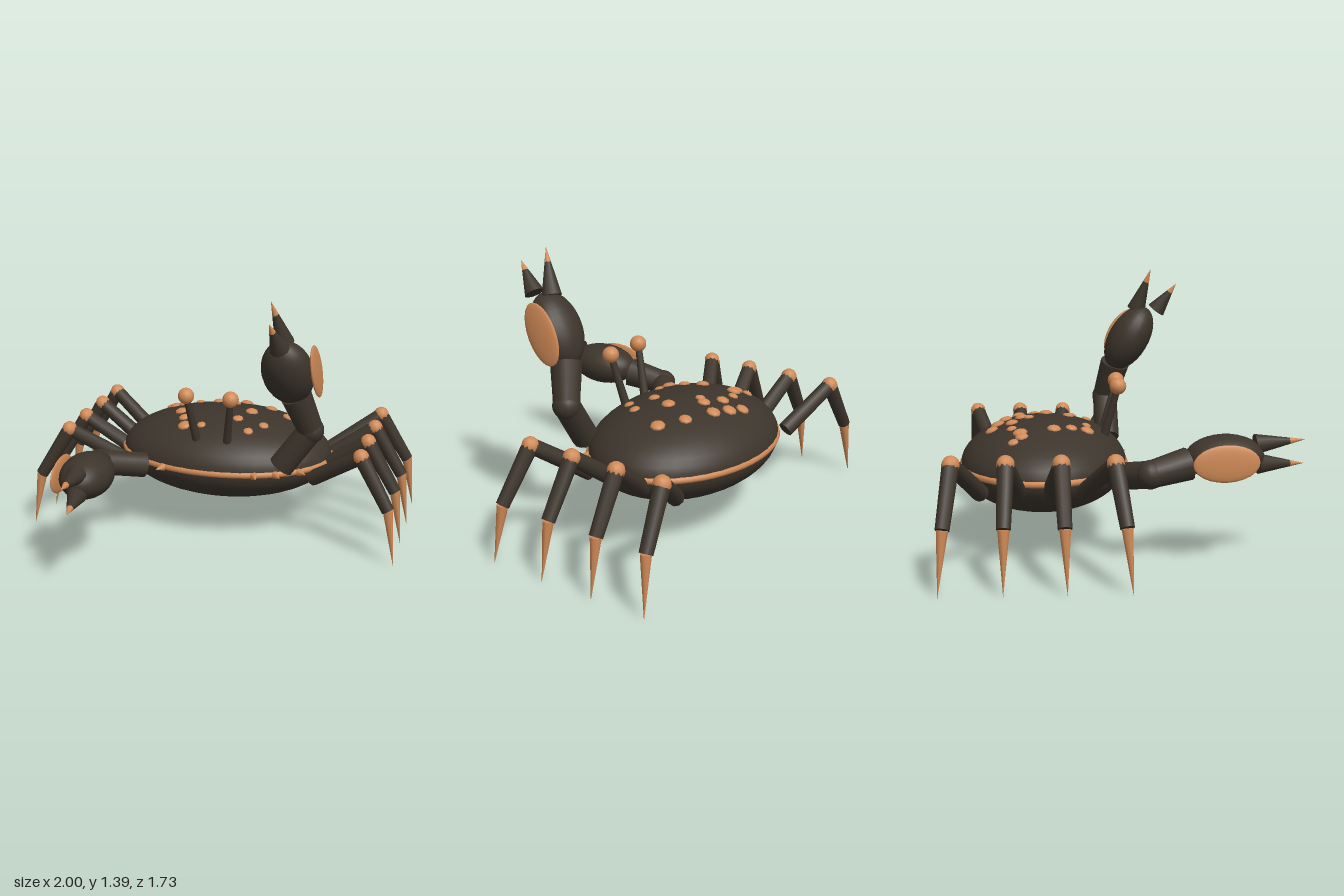
import * as THREE from 'three';

const shell = new THREE.MeshStandardMaterial({ color: 0x3d352c });
shell.name = 'dark shell';
const accent = new THREE.MeshStandardMaterial({ color: 0xd08a56 });
accent.name = 'orange accent';

const V = (x, y, z) => new THREE.Vector3(x, y, z);
const UP = V(0, 1, 0);

function add(parent, name, geometry, material) {
  const mesh = new THREE.Mesh(geometry, material);
  mesh.name = name;
  parent.add(mesh);
  return mesh;
}

// Cylinder or cone running from a (radius ra) to b (radius rb)
function limb(parent, name, a, b, ra, rb, material, sides = 12) {
  const dir = b.clone().sub(a);
  const mesh = add(parent, name, new THREE.CylinderGeometry(rb, ra, dir.length(), sides), material);
  mesh.position.copy(a).add(b).multiplyScalar(0.5);
  mesh.quaternion.setFromUnitVectors(UP, dir.normalize());
  return mesh;
}

function ball(parent, name, p, r, material, w = 16, h = 12) {
  const mesh = add(parent, name, new THREE.SphereGeometry(r, w, h), material);
  mesh.position.copy(p);
  return mesh;
}

// Body ellipsoid
const C = V(0, 0.41, -0.41), R = V(0.587, 0.234, 0.427);
const topY = (x, z) =>
  C.y + R.y * Math.sqrt(Math.max(0, 1 - (x / R.x) ** 2 - ((z - C.z) / R.z) ** 2));

function buildBody(root) {
  const body = new THREE.Group();
  body.name = 'body';
  root.add(body);
  ball(body, 'carapace', C, 1, shell, 40, 24).scale.copy(R);

  const rim = add(body, 'shellRim', new THREE.TorusGeometry(0.58, 0.017, 8, 56).rotateX(Math.PI / 2), accent);
  rim.scale.z = 0.728;
  rim.position.copy(C);

  // Small spikes along the front rim
  for (const s of [-1, 1]) for (const deg of [25, 37, 52]) {
    const t = THREE.MathUtils.degToRad(deg);
    const dir = V(s * Math.sin(t), 0, Math.cos(t));
    const base = V(dir.x * R.x, 0, dir.z * R.z).add(C);
    limb(body, 'rimSpike', base, base.clone().addScaledVector(dir, 0.06), 0.022, 0, accent, 6);
  }

  // Scattered bumps: x, z, radius
  const bumps = [
    [-0.37, -0.55, 0.028], [-0.33, -0.51, 0.034], [-0.28, -0.52, 0.038], [-0.20, -0.565, 0.027],
    [-0.115, -0.67, 0.035], [-0.03, -0.645, 0.038], [-0.09, -0.57, 0.034], [0.015, -0.525, 0.034],
    [-0.015, -0.485, 0.027], [0.063, -0.61, 0.037], [0.22, -0.55, 0.034], [0.337, -0.47, 0.038],
    [0.143, -0.40, 0.036], [-0.247, -0.353, 0.036], [-0.205, -0.267, 0.031], [-0.18, -0.187, 0.037],
    [-0.085, -0.19, 0.025], [0.095, -0.283, 0.03], [0.242, -0.267, 0.028], [0.176, -0.187, 0.027]
  ];
  for (const [x, z, r] of bumps) {
    const y = topY(x, z);
    const bump = ball(body, 'shellBump', V(x, y, z), r, accent, 8, 6);
    const n = V(x / R.x ** 2, (y - C.y) / R.y ** 2, (z - C.z) / R.z ** 2).normalize();
    bump.quaternion.setFromUnitVectors(UP, n);
    bump.scale.y = 0.5;
  }

  // Eyes on stalks
  for (const s of [-1, 1]) {
    const tip = V(s * 0.12, 0.815, -0.03);
    limb(body, 'eyeStalk', V(s * 0.083, 0.55, -0.1), tip, 0.023, 0.017, shell);
    ball(body, 'eye', tip, 0.043, accent);
  }
}

// Walking legs: z of hip, knee, ankle and tip
function buildLegs(root) {
  const rows = [
    [-0.21, -0.07, -0.025, 0.0],
    [-0.37, -0.315, -0.3, -0.29],
    [-0.52, -0.565, -0.57, -0.573],
    [-0.7, -0.81, -0.837, -0.86]
  ];
  for (const s of [-1, 1]) for (const [hz, kz, az, tz] of rows) {
    const leg = new THREE.Group();
    leg.name = s > 0 ? 'leftLeg' : 'rightLeg';
    root.add(leg);
    const hip = V(s * 0.525, 0.36, hz), knee = V(s * 0.8, 0.555, kz);
    const ankle = V(s * 0.956, 0.295, az), tip = V(s, 0.0, tz);
    limb(leg, 'thigh', hip, knee, 0.042, 0.038, shell, 10);
    ball(leg, 'knee', knee, 0.043, accent, 10, 8);
    limb(leg, 'shin', knee, ankle, 0.04, 0.033, shell, 10);
    limb(leg, 'footSpike', ankle, tip, 0.028, 0, accent, 8);
  }
}

// Claw arm: joints, palm axis and the two finger base/tip pairs
function buildArm(root, name, p) {
  const arm = new THREE.Group();
  arm.name = name;
  root.add(arm);
  limb(arm, 'upperArm', p.shoulder, p.elbow, 0.068, 0.066, shell, 14);
  ball(arm, 'elbow', p.elbow, 0.07, shell);
  limb(arm, 'forearm', p.elbow, p.wrist, 0.066, 0.08, shell, 14);

  // Palm frame: y along the claw, x outward
  const y = p.axis.clone().normalize();
  const x = V(p.side, 0, 0).addScaledVector(y, -p.side * y.x).normalize();
  const frame = new THREE.Matrix4().makeBasis(x, y, x.clone().cross(y));
  const palm = ball(arm, 'palm', p.palm, 1, shell, 24, 16);
  palm.scale.set(0.132, 0.193, 0.11);
  const plate = ball(arm, 'palmPlate', p.plate, 1, accent, 24, 12);
  plate.scale.set(0.016, 0.16, 0.09);
  for (const m of [palm, plate]) m.quaternion.setFromRotationMatrix(frame);

  for (const [base, tip] of p.fingers) {
    const mid = base.clone().lerp(tip, 0.68);
    limb(arm, 'finger', base, mid, 0.05, 0.016, shell);
    limb(arm, 'fingerTip', mid, tip, 0.0165, 0, accent);
  }
}

export function createModel() {
  const root = new THREE.Group();
  root.name = 'crab';
  buildBody(root);
  buildLegs(root);
  buildArm(root, 'leftRaisedArm', {
    side: 1,
    shoulder: V(0.385, 0.465, -0.07), elbow: V(0.535, 0.675, -0.075), wrist: V(0.465, 0.87, -0.02),
    palm: V(0.435, 1.01, 0.055), plate: V(0.577, 1.02, 0.035), axis: V(-0.08, 0.86, 0.5),
    fingers: [
      [V(0.425, 1.165, 0.205), V(0.395, 1.31, 0.312)],
      [V(0.425, 1.17, 0.095), V(0.37, 1.39, 0.172)]
    ]
  });
  buildArm(root, 'rightLoweredArm', {
    side: -1,
    shoulder: V(-0.365, 0.4, -0.05), elbow: V(-0.56, 0.45, 0.105), wrist: V(-0.505, 0.49, 0.29),
    palm: V(-0.483, 0.518, 0.465), plate: V(-0.622, 0.51, 0.46), axis: V(0.06, 0.03, 1),
    fingers: [
      [V(-0.475, 0.576, 0.615), V(-0.45, 0.594, 0.865)],
      [V(-0.47, 0.48, 0.63), V(-0.425, 0.472, 0.865)]
    ]
  });
  return root;
}
